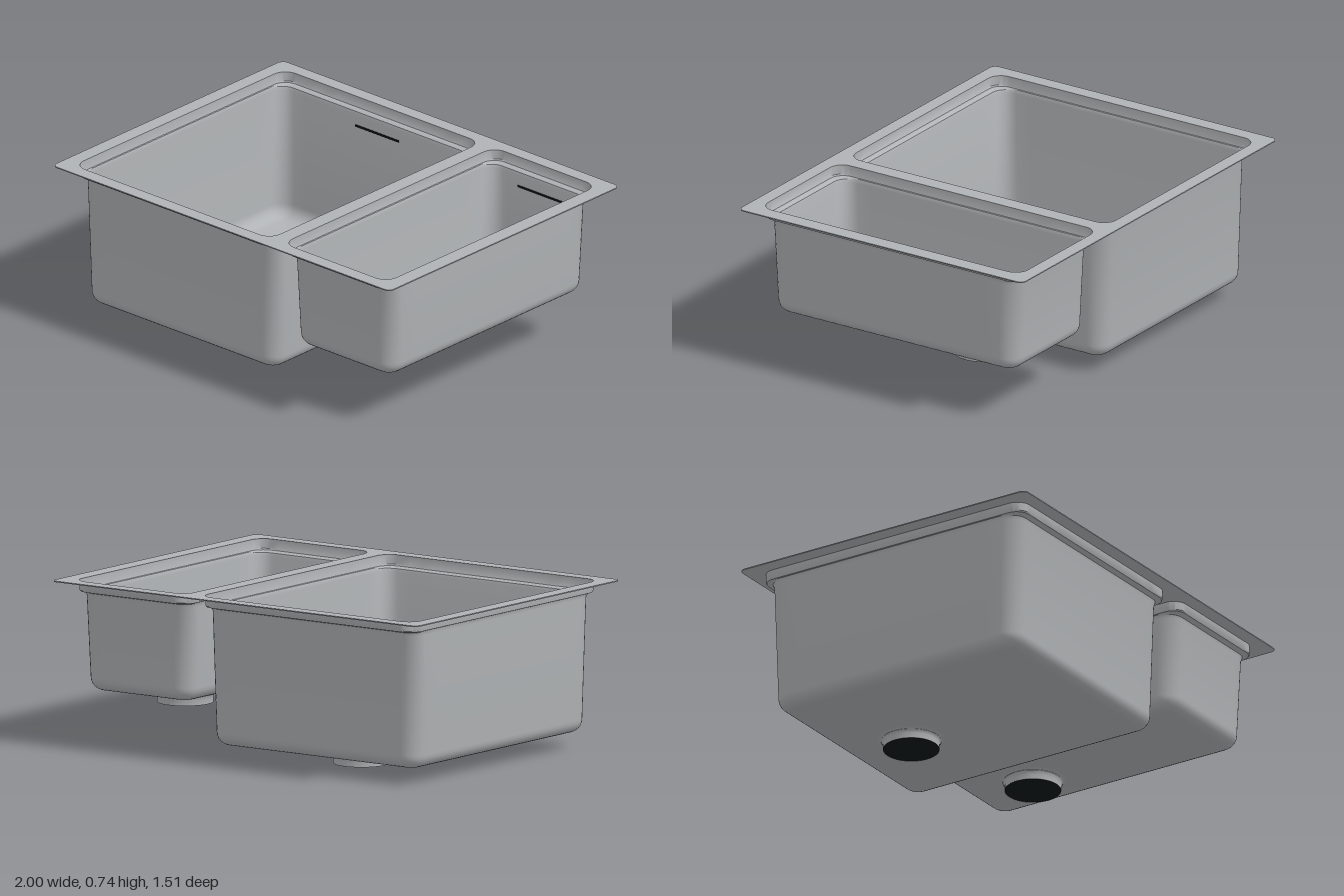
import * as THREE from 'three';
import { toCreasedNormals } from 'three/addons/utils/BufferGeometryUtils.js';

const steel = new THREE.MeshStandardMaterial({ color: 0xb0b3b5, side: THREE.DoubleSide });
steel.name = 'brushed steel';
const dark = new THREE.MeshStandardMaterial({ color: 0x121819, side: THREE.DoubleSide });
dark.name = 'dark opening';

const TOP = 0.74, DRAIN_Z = -0.28;
const BOWLS = [
  { name: 'largeBowl', x0: -0.93, x1: 0.235, floor: 0.07 },
  { name: 'smallBowl', x0: 0.31, x1: 0.925, floor: 0.245 },
];

function add(parent, name, geometry, material) {
  const mesh = new THREE.Mesh(geometry, material);
  mesh.name = name;
  parent.add(mesh);
  return mesh;
}

// Evenly matched points around a rounded rectangle, as [x, z]
function roundedRing(x0, x1, halfZ, r, sideSteps = 16, cornerSteps = 7) {
  const corners = [
    [x1 - r, halfZ - r, 0], [x0 + r, halfZ - r, 1],
    [x0 + r, -halfZ + r, 2], [x1 - r, -halfZ + r, 3],
  ];
  const points = [];
  corners.forEach(([cx, cz, q], i) => {
    for (let k = 0; k <= cornerSteps; k++) {
      const a = (q + k / cornerSteps) * Math.PI / 2;
      points.push([cx + r * Math.cos(a), cz + r * Math.sin(a)]);
    }
    const from = points[points.length - 1];
    const [nx, nz, nq] = corners[(i + 1) % 4];
    const a = nq * Math.PI / 2;
    const to = [nx + r * Math.cos(a), nz + r * Math.sin(a)];
    for (let k = 1; k < sideSteps; k++) {
      const t = k / sideSteps;
      points.push([from[0] + (to[0] - from[0]) * t, from[1] + (to[1] - from[1]) * t]);
    }
  });
  return points;
}

// Skin a list of closed rings
function loft(rings) {
  const n = rings[0].length, index = [];
  for (let j = 0; j < rings.length - 1; j++) {
    for (let i = 0; i < n; i++) {
      const a = j * n + i, b = j * n + (i + 1) % n;
      index.push(a, a + n, b, b, a + n, b + n);
    }
  }
  const g = new THREE.BufferGeometry();
  g.setAttribute('position', new THREE.Float32BufferAttribute(rings.flat(2), 3));
  g.setIndex(index);
  return toCreasedNormals(g, 0.6);
}

function bowlGeometry({ x0, x1, floor }, cx) {
  // Wall sections: side inset, half depth, height, corner radius
  const sections = [
    [0, 0.69, TOP, 0.065], [0, 0.69, 0.697, 0.065], [0.002, 0.686, 0.691, 0.065],
    [0.007, 0.668, 0.689, 0.065], [0.009, 0.66, 0.684, 0.07], [0.01, 0.656, 0.67, 0.075],
  ];
  // Rounded bottom edge
  const R = 0.06;
  for (let k = 0; k <= 6; k++) {
    const a = k / 6 * Math.PI / 2, d = R * (1 - Math.cos(a));
    sections.push([0.02 + d, 0.644 - d, floor + R * (1 - Math.sin(a)), 0.08 - d]);
  }
  const rings = sections.map(([inset, hz, y, r]) =>
    roundedRing(x0 + inset, x1 - inset, hz, r).map(([x, z]) => [x, y, z]));

  // Sloping floor and drain collar
  const edge = rings[rings.length - 1];
  const circle = (r, y) => edge.map(([x, , z]) => {
    const a = Math.atan2(z - DRAIN_Z, x - cx);
    return [cx + r * Math.cos(a), y, DRAIN_Z + r * Math.sin(a)];
  });
  const inner = circle(0.155, floor - 0.02);
  for (const t of [0.33, 0.66]) {
    rings.push(edge.map((p, i) => p.map((v, k) => v + (inner[i][k] - v) * t)));
  }
  rings.push(inner);
  for (const [r, drop] of [[0.143, 0.022], [0.133, 0.028], [0.127, 0.036], [0.125, 0.044], [0.125, 0.07]]) {
    rings.push(circle(r, floor - drop));
  }
  return loft(rings);
}

function strainer() {
  const g = new THREE.Group();
  g.name = 'strainer';
  // Dished basket with a raised centre button
  const profile = [[0, 0.042], [0.04, 0.042], [0.045, 0.038], [0.046, 0.032], [0.078, 0.03],
    [0.118, 0.04], [0.122, 0.046], [0.131, 0.046], [0.133, 0.04]]
    .map(([x, y]) => new THREE.Vector2(x, y));
  add(g, 'strainerBasket', toCreasedNormals(new THREE.LatheGeometry(profile, 48), 0.5), steel);
  // Radial slots
  const count = 24;
  for (let i = 0; i < count; i++) {
    const pivot = new THREE.Group();
    pivot.name = 'slotPivot';
    pivot.rotation.y = i / count * Math.PI * 2;
    const slot = add(pivot, 'strainerSlot', new THREE.BoxGeometry(0.032, 0.003, 0.009), dark);
    slot.position.set(0.098, 0.0355, 0);
    slot.rotation.z = Math.atan2(0.01, 0.04);
    g.add(pivot);
  }
  // Dark outlet seen from below
  const outlet = add(g, 'drainOutlet', new THREE.CircleGeometry(0.124, 48), dark);
  outlet.rotation.x = Math.PI / 2;
  outlet.position.y = 0.002;
  return g;
}

export function createModel() {
  const model = new THREE.Group();
  model.name = 'doubleSink';

  // Flat rim with two bowl openings
  const toVectors = (ring) => ring.map(([x, z]) => new THREE.Vector2(x, z));
  const shape = new THREE.Shape(toVectors(roundedRing(-1, 1, 0.755, 0.03, 1)));
  for (const b of BOWLS) {
    shape.holes.push(new THREE.Path(toVectors(roundedRing(b.x0, b.x1, 0.69, 0.065, 1))));
  }
  const rim = add(model, 'rim',
    new THREE.ExtrudeGeometry(shape, { depth: 0.005, bevelEnabled: false }), steel);
  rim.rotation.x = Math.PI / 2;
  rim.position.y = TOP;

  for (const b of BOWLS) {
    const cx = b.x0 < 0 ? -0.347 : 0.618;
    const bowl = new THREE.Group();
    bowl.name = b.name;
    add(bowl, 'bowlShell', bowlGeometry(b, cx), steel);
    const drain = strainer();
    drain.position.set(cx, b.floor - 0.07, DRAIN_Z);
    bowl.add(drain);
    // Overflow slit in the back wall
    const slit = add(bowl, 'overflowSlit', new THREE.BoxGeometry(0.26, 0.009, 0.004), dark);
    slit.position.set(cx, 0.62, -0.652);
    model.add(bowl);
  }
  return model;
}
